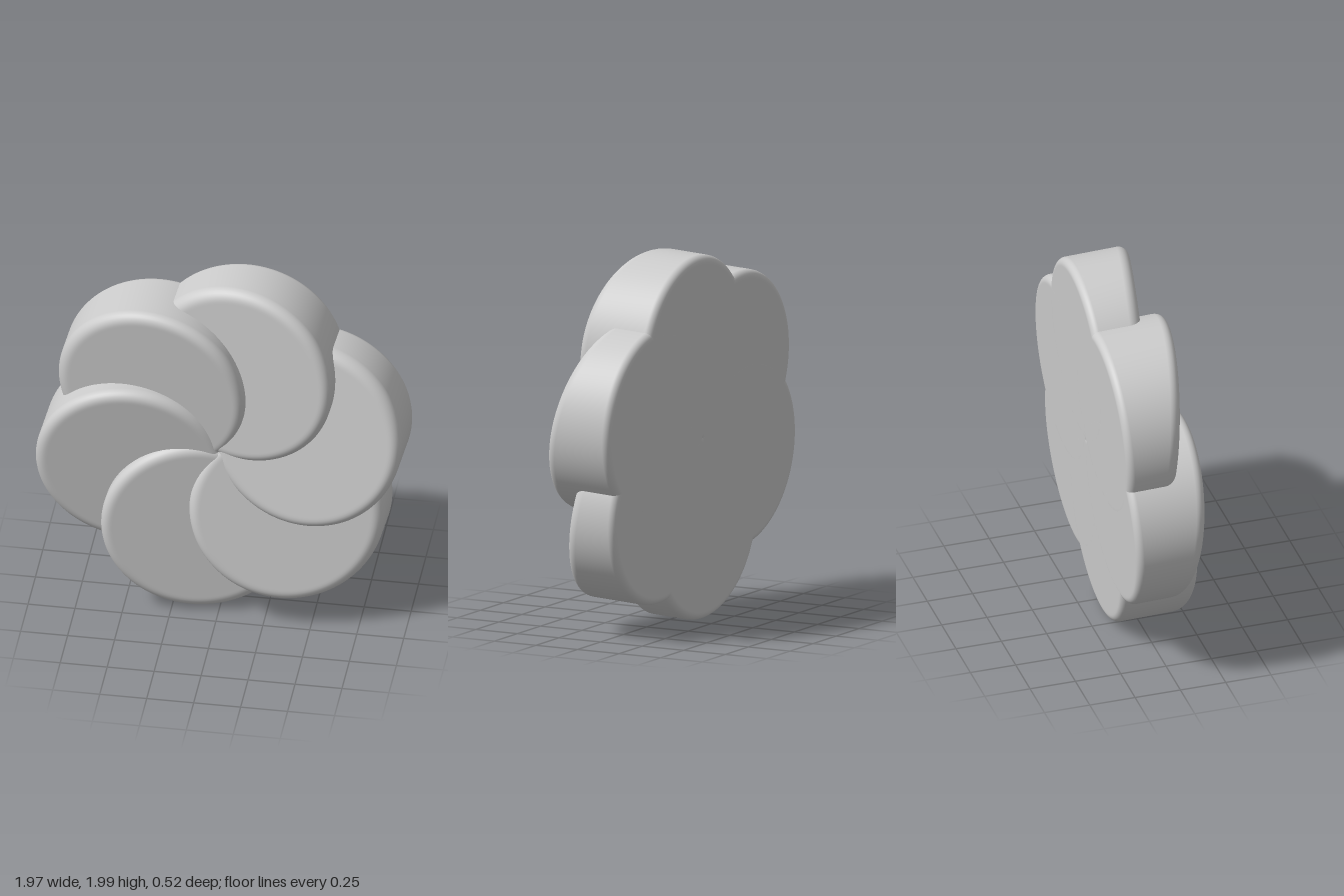
import * as THREE from 'three';
import { mergeVertices } from 'three/addons/utils/BufferGeometryUtils.js';

const PETALS = 6, ORBIT = 0.49, RADIUS = 0.513, THICK = 0.346, SLOPE = 0.18;
const FRONT_FILLET = 0.06, BACK_FILLET = 0.04;

// Round disc with filleted rims, flat back and a front that slants across it
function petalGeometry() {
  const profile = [new THREE.Vector2(0, 0)];
  const fillet = (f, y, from) => {
    for (let i = 0; i <= 8; i++) {
      const a = from + (i / 8) * Math.PI / 2;
      profile.push(new THREE.Vector2(RADIUS - f + f * Math.cos(a), y + f * Math.sin(a)));
    }
  };
  profile.push(new THREE.Vector2(RADIUS - BACK_FILLET - 0.01, 0));
  fillet(BACK_FILLET, BACK_FILLET, -Math.PI / 2);
  fillet(FRONT_FILLET, THICK - FRONT_FILLET, 0);
  profile.push(new THREE.Vector2(RADIUS - FRONT_FILLET - 0.01, THICK));
  profile.push(new THREE.Vector2(0, THICK));

  let geo = new THREE.LatheGeometry(profile, 128);
  geo.rotateX(Math.PI / 2);
  // Raise the clockwise side of the front half, lower the other
  const p = geo.attributes.position;
  for (let i = 0; i < p.count; i++) {
    if (p.getZ(i) > THICK / 2) p.setZ(i, p.getZ(i) - SLOPE * p.getY(i));
  }
  geo.translate(ORBIT, 0, -THICK / 2);
  geo.deleteAttribute('normal');
  geo.deleteAttribute('uv');
  geo = mergeVertices(geo, 1e-5);
  geo.computeVertexNormals();
  return geo;
}

export function createModel() {
  const model = new THREE.Group();
  model.name = 'pinwheelFlower';
  const material = new THREE.MeshStandardMaterial({ color: 0xcccccc });
  const geometry = petalGeometry();

  // Ring of overlapping petals, leaning slightly as a whole
  const flower = new THREE.Group();
  flower.name = 'flower';
  for (let i = 0; i < PETALS; i++) {
    const petal = new THREE.Mesh(geometry, material);
    petal.name = `petal${i + 1}`;
    petal.rotation.z = THREE.MathUtils.degToRad(18 + i * 360 / PETALS);
    flower.add(petal);
  }
  flower.rotation.set(-0.05, -0.034, 0);
  flower.position.set(0, 1.002, -0.204 + THICK / 2);
  model.add(flower);
  return model;
}
